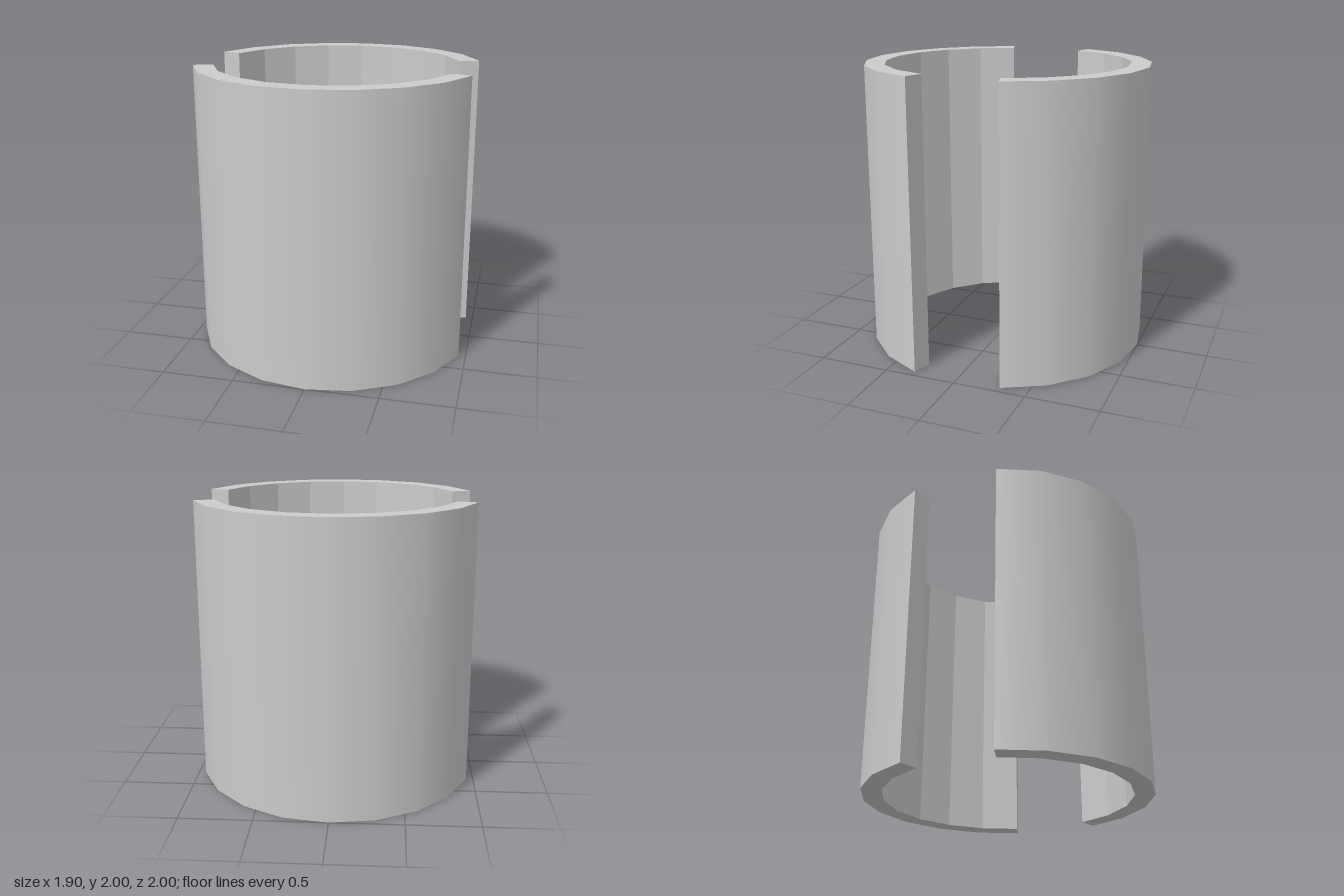
import * as THREE from 'three';

const OUTER = 1, INNER = 0.86, HEIGHT = 2, SEGMENTS = 8;
const START = Math.PI / 10, STEP = Math.PI / 10; // eight sides of a 20-sided ring

// One curved wall: smooth outside, faceted inside, flat ends
function shellGeometry() {
  const arc = (radius) => Array.from({ length: SEGMENTS + 1 }, (_, i) => {
    const a = START + i * STEP;
    return new THREE.Vector2(Math.cos(a) * radius, Math.sin(a) * radius);
  });
  const shape = new THREE.Shape([...arc(OUTER), ...arc(INNER).reverse()]);
  const geometry = new THREE.ExtrudeGeometry(shape, { depth: HEIGHT, bevelEnabled: false });
  geometry.rotateX(-Math.PI / 2);

  // Round the shading of the outer face with radial normals
  const { position, normal } = geometry.attributes;
  const radial = new THREE.Vector3(), n = new THREE.Vector3();
  for (let i = 0; i < position.count; i++) {
    radial.fromBufferAttribute(position, i).setY(0).normalize();
    n.fromBufferAttribute(normal, i);
    if (n.dot(radial) > 0.9) normal.setXYZ(i, radial.x, 0, radial.z);
  }
  return geometry;
}

export function createModel() {
  const group = new THREE.Group();
  group.name = 'splitSleeve';
  const material = new THREE.MeshStandardMaterial({ color: 0xcccccc });
  const geometry = shellGeometry();

  // Two facing half shells with a gap on each side
  ['backShell', 'frontShell'].forEach((name, i) => {
    const shell = new THREE.Mesh(geometry, material);
    shell.name = name;
    shell.rotation.y = i * Math.PI;
    group.add(shell);
  });
  return group;
}
